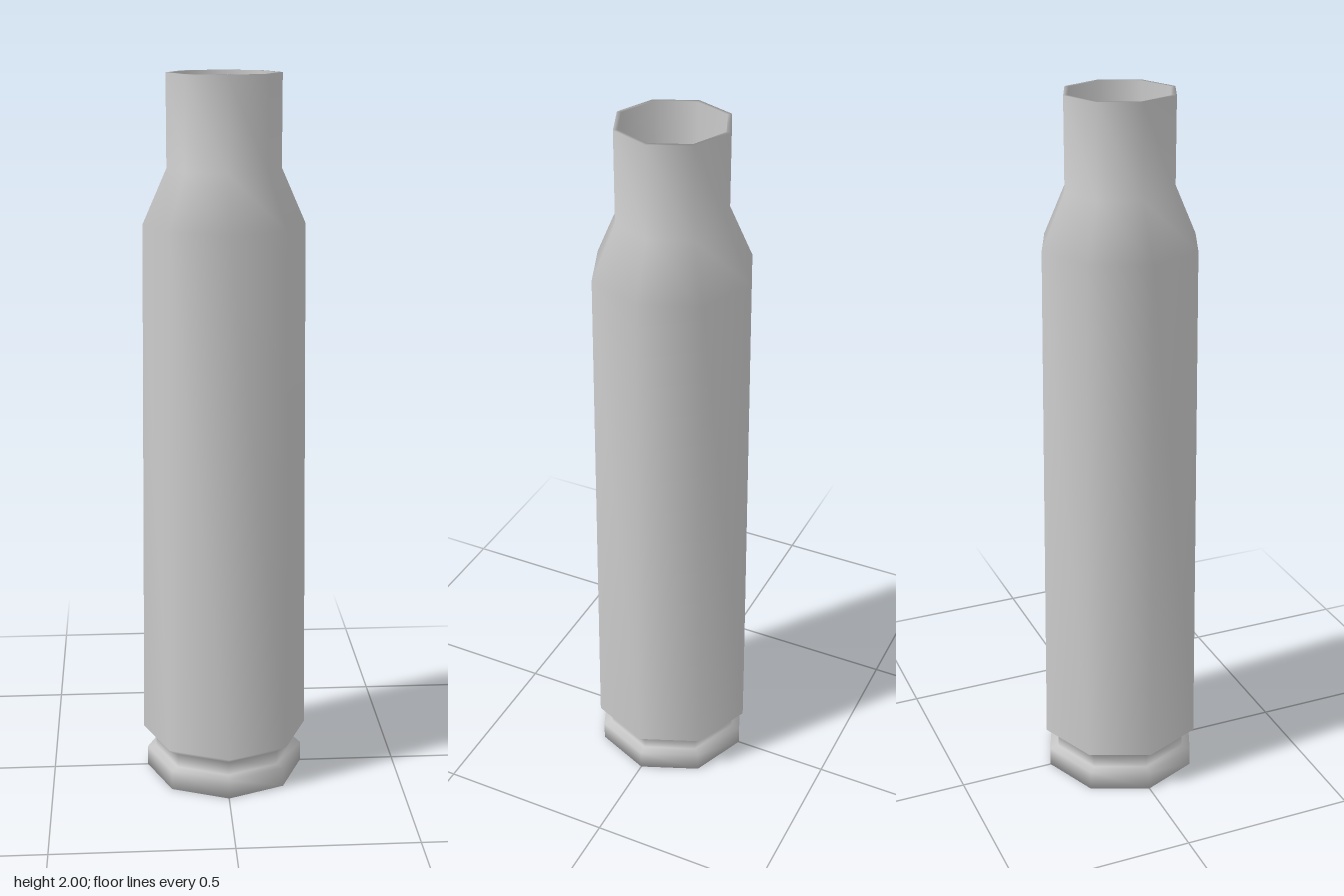
import * as THREE from 'three';

const SIDES = 8;

// Smooth-shaded skin through octagonal rings, closed by a flat cap at each end.
function ringSkin(profile) {
  const positions = [];
  const index = [];
  for (const [radius, y] of profile) {
    for (let i = 0; i < SIDES; i++) {
      const a = (i / SIDES) * Math.PI * 2;
      positions.push(radius * Math.sin(a), y, radius * Math.cos(a));
    }
  }
  for (let j = 0; j < profile.length - 1; j++) {
    for (let i = 0; i < SIDES; i++) {
      const a = j * SIDES + i;
      const b = j * SIDES + ((i + 1) % SIDES);
      index.push(a, b, a + SIDES, b, b + SIDES, a + SIDES);
    }
  }
  const last = (profile.length - 1) * SIDES;
  for (let i = 1; i < SIDES - 1; i++) {
    index.push(0, i + 1, i); // underside
    index.push(last, last + i, last + i + 1); // floor of the bore
  }
  const geometry = new THREE.BufferGeometry();
  geometry.setAttribute('position', new THREE.Float32BufferAttribute(positions, 3));
  geometry.setIndex(index);
  geometry.computeVertexNormals();
  return geometry;
}

export function createModel() {
  const group = new THREE.Group();
  group.name = 'cartridgeCase';

  // Radius and height, up the outside and back down the bore
  const profile = [
    [0.226, 0], [0.226, 0.057], // base rim
    [0.2, 0.06], [0.2, 0.1], // extractor groove
    [0.236, 0.125], [0.221, 1.6], // tapered body
    [0.155, 1.75], [0.155, 2], // shoulder and neck
    [0.143, 2], [0.143, 0.12], // mouth and bore
  ];
  const material = new THREE.MeshStandardMaterial({ color: 0xcccccc });
  const shell = new THREE.Mesh(ringSkin(profile), material);
  shell.name = 'caseShell';
  group.add(shell);
  return group;
}
